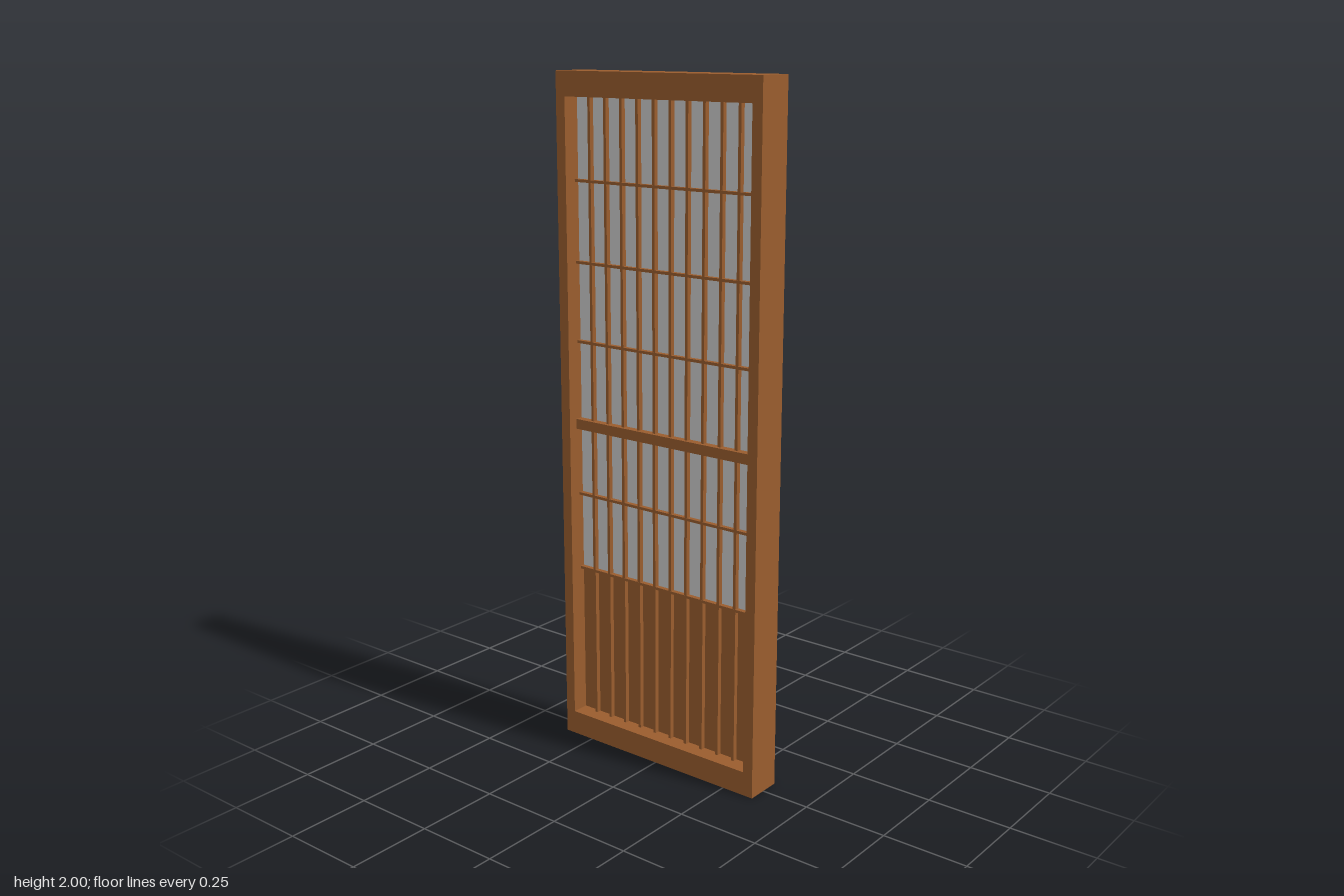
import * as THREE from 'three';

const wood = new THREE.MeshStandardMaterial({ name: 'brownWood', color: 0x9a5d2e });
const paper = new THREE.MeshStandardMaterial({ name: 'palePaper', color: 0xcecece });

const W = 0.352, D = 0.056;                    // half width and half depth
const IN = 0.32, LOW = 0.072, HIGH = 1.93;     // frame opening
const PANEL_TOP = 0.534;

export function createModel() {
  const model = new THREE.Group();
  model.name = 'latticeDoor';

  const box = (parent, name, material, x0, x1, y0, y1, z0, z1) => {
    const mesh = new THREE.Mesh(new THREE.BoxGeometry(x1 - x0, y1 - y0, z1 - z0), material);
    mesh.position.set((x0 + x1) / 2, (y0 + y1) / 2, (z0 + z1) / 2);
    mesh.name = name;
    parent.add(mesh);
  };

  // Outer frame: one slab with a rectangular opening
  const outline = new THREE.Shape([[-W, 0], [W, 0], [W, 2], [-W, 2]].map(p => new THREE.Vector2(...p)));
  outline.holes.push(new THREE.Path([[-IN, LOW], [-IN, HIGH], [IN, HIGH], [IN, LOW]].map(p => new THREE.Vector2(...p))));
  const frameGeometry = new THREE.ExtrudeGeometry(outline, { depth: 2 * D, bevelEnabled: false });
  frameGeometry.translate(0, 0, -D);
  const frame = new THREE.Mesh(frameGeometry, wood);
  frame.name = 'frame';
  model.add(frame);

  // Paper above, solid board below
  box(model, 'paperScreen', paper, -IN, IN, PANEL_TOP, HIGH, -0.004, 0.004);
  box(model, 'lowerBoard', wood, -IN, IN, LOW, PANEL_TOP, -0.004, 0.004);

  // Middle rail
  box(model, 'middleRail', wood, -IN, IN, 0.97, 1.0, -0.028, 0.028);

  // The same lattice on both faces, turned half round for the back
  for (const side of ['front', 'back']) {
    const lattice = new THREE.Group();
    lattice.name = side + 'Lattice';
    if (side === 'back') lattice.rotation.y = Math.PI;
    for (let i = 0; i < 10; i++) {
      const x = -0.265 + i * 0.0577;
      box(lattice, 'verticalBar', wood, x - 0.0045, x + 0.0045, LOW, HIGH, 0.003, 0.018);
    }
    for (const y of [1.696, 1.463, 1.231, 0.768, 0.534]) {
      box(lattice, 'crossBar', wood, -IN, IN, y - 0.004, y + 0.004, 0.003, 0.0185);
    }
    model.add(lattice);
  }
  return model;
}
